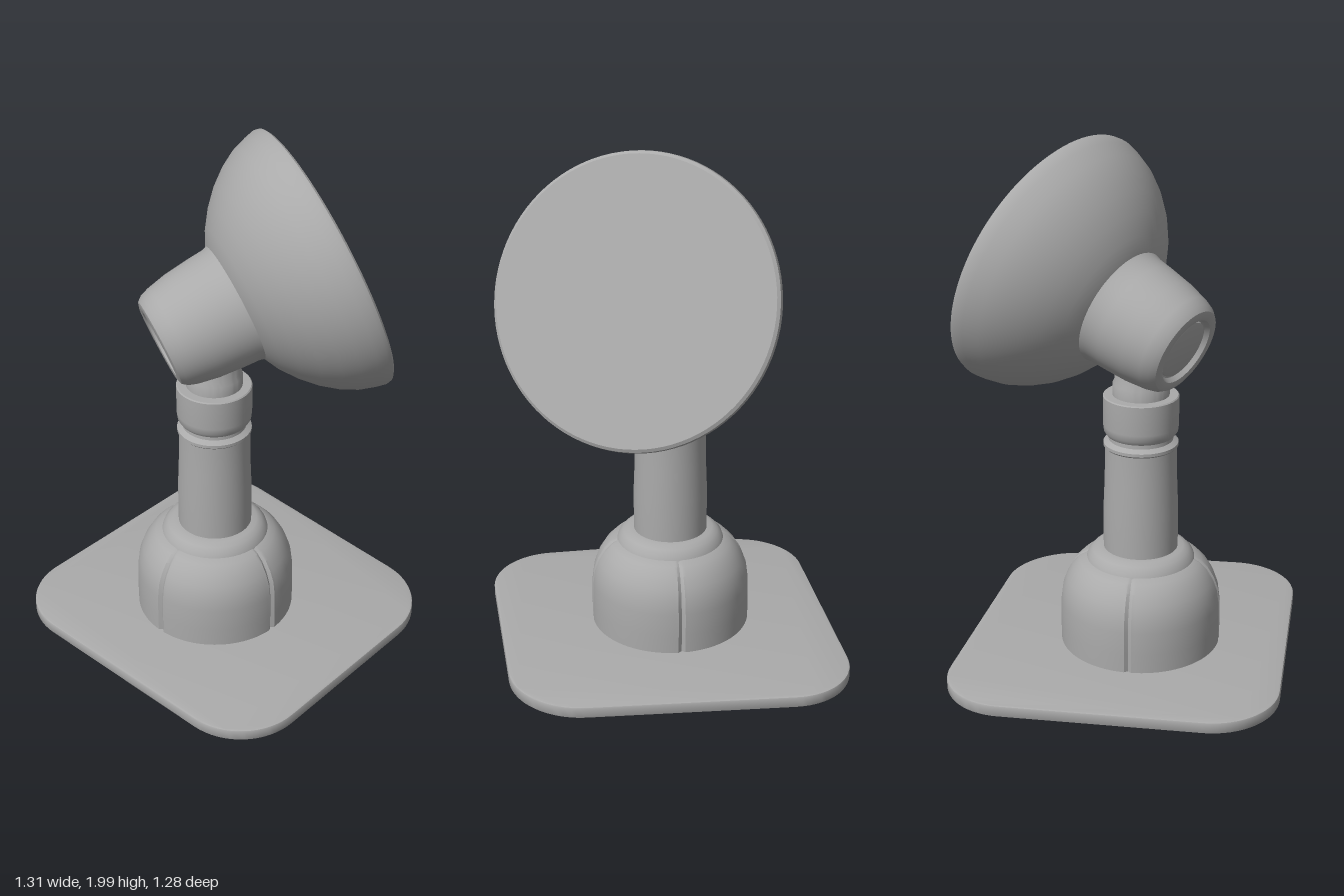
import * as THREE from 'three';
import { toCreasedNormals } from 'three/addons/utils/BufferGeometryUtils.js';

const grey = new THREE.MeshStandardMaterial({ color: 0xaaaaaa });
grey.name = 'matte grey';

function part(name, geometry, parent) {
  const mesh = new THREE.Mesh(geometry, grey);
  mesh.name = name;
  parent.add(mesh);
  return mesh;
}

// Profile points are [radius, height], listed from bottom to top.
function lathe(points, segments = 72, phi = 0) {
  return new THREE.LatheGeometry(points.map(([r, y]) => new THREE.Vector2(r, y)), segments, phi);
}
const crease = (geometry) => toCreasedNormals(geometry, 0.6);

// Closed outline with every corner cut back by d and rounded.
function roundedQuad(corners, d) {
  const shape = new THREE.Shape();
  const pts = corners.map(([x, y]) => new THREE.Vector2(x, y));
  pts.forEach((p, i) => {
    const towards = (q) => q.clone().sub(p).setLength(d).add(p);
    const a = towards(pts[(i + 3) % 4]);
    const b = towards(pts[(i + 1) % 4]);
    if (i === 0) shape.moveTo(a.x, a.y);
    else shape.lineTo(a.x, a.y);
    const k = 0.55;
    const c1 = a.clone().lerp(p, k), c2 = b.clone().lerp(p, k);
    shape.bezierCurveTo(c1.x, c1.y, c2.x, c2.y, b.x, b.y);
  });
  shape.closePath();
  return shape;
}

export function createModel() {
  const model = new THREE.Group();
  model.name = 'dishOnStand';

  // Slightly skewed base plate; the shape's y becomes -z
  const outline = roundedQuad([[-0.66, -0.605], [0.642, -0.65], [0.658, 0.535], [-0.628, 0.665]], 0.26);
  const plate = new THREE.ExtrudeGeometry(outline, {
    depth: 0.033, bevelThickness: 0.006, bevelSize: 0.006, bevelOffset: -0.006, bevelSegments: 2, curveSegments: 16,
  });
  plate.rotateX(-Math.PI / 2);
  plate.translate(0, 0.006, 0);
  part('basePlate', crease(plate), model);

  const stand = new THREE.Group();
  stand.name = 'stand';
  stand.position.set(-0.03, 0, 0.05);
  model.add(stand);

  // Domed foot with four narrow seams pressed into it
  const dome = lathe([[0.31, 0.03], [0.311, 0.12], [0.309, 0.21], [0.302, 0.265], [0.286, 0.31],
    [0.262, 0.35], [0.235, 0.378], [0.2, 0.395], [0.15, 0.4]], 144, Math.PI / 4);
  const pos = dome.attributes.position;
  for (let i = 0; i < pos.count; i++) {
    const x = pos.getX(i), z = pos.getZ(i);
    const angle = Math.atan2(x, z) + 0.04;
    const fromSeam = Math.abs(angle - Math.round(angle / (Math.PI / 2)) * Math.PI / 2);
    if (fromSeam < 0.022) {
      pos.setX(i, x * 0.965);
      pos.setZ(i, z * 0.965);
    }
  }
  part('domedFoot', crease(dome), stand);

  // Shoulder ring, post, grooves, collar and neck
  part('footRing', crease(lathe([[0.21, 0.385], [0.203, 0.405], [0.185, 0.425], [0.165, 0.436], [0.13, 0.438]])), stand);
  part('post', crease(lathe([[0.143, 0.42], [0.143, 0.6], [0.138, 0.72], [0.136, 0.85], [0.142, 0.856],
    [0.142, 0.868], [0.122, 0.88], [0.12, 0.91]])), stand);
  part('collar', crease(lathe([[0.11, 0.895], [0.128, 0.898], [0.14, 0.915], [0.143, 0.94], [0.143, 1.052],
    [0.139, 1.056], [0.1, 1.057]])), stand);
  part('neck', crease(lathe([[0.107, 1.05], [0.107, 1.1], [0.1, 1.115], [0.1, 1.24]])), stand);

  // Tilted head: local +y runs from the flat dish face towards the front knob
  const head = new THREE.Group();
  head.name = 'tiltedHead';
  head.position.set(0.177, 1.512, -0.33);
  const axis = new THREE.Vector3(-0.46, -0.36, 0.81).normalize();
  head.quaternion.setFromUnitVectors(new THREE.Vector3(0, 1, 0), axis);
  model.add(head);

  part('dish', crease(lathe([[0, 0], [0.508, 0], [0.519, 0.008], [0.522, 0.025], [0.514, 0.06], [0.494, 0.12],
    [0.46, 0.18], [0.413, 0.24], [0.355, 0.295], [0.29, 0.342], [0.22, 0.378], [0.15, 0.395]], 96)), head);
  part('housing', crease(lathe([[0.235, 0.36], [0.226, 0.39], [0.222, 0.45], [0.212, 0.55], [0.196, 0.63],
    [0.184, 0.664], [0.168, 0.684], [0.148, 0.69], [0.132, 0.686], [0.122, 0.668], [0.11, 0.662]])), head);
  part('endCap', crease(lathe([[0.122, 0.65], [0.114, 0.672], [0.1, 0.677], [0, 0.68]])), head);

  return model;
}
